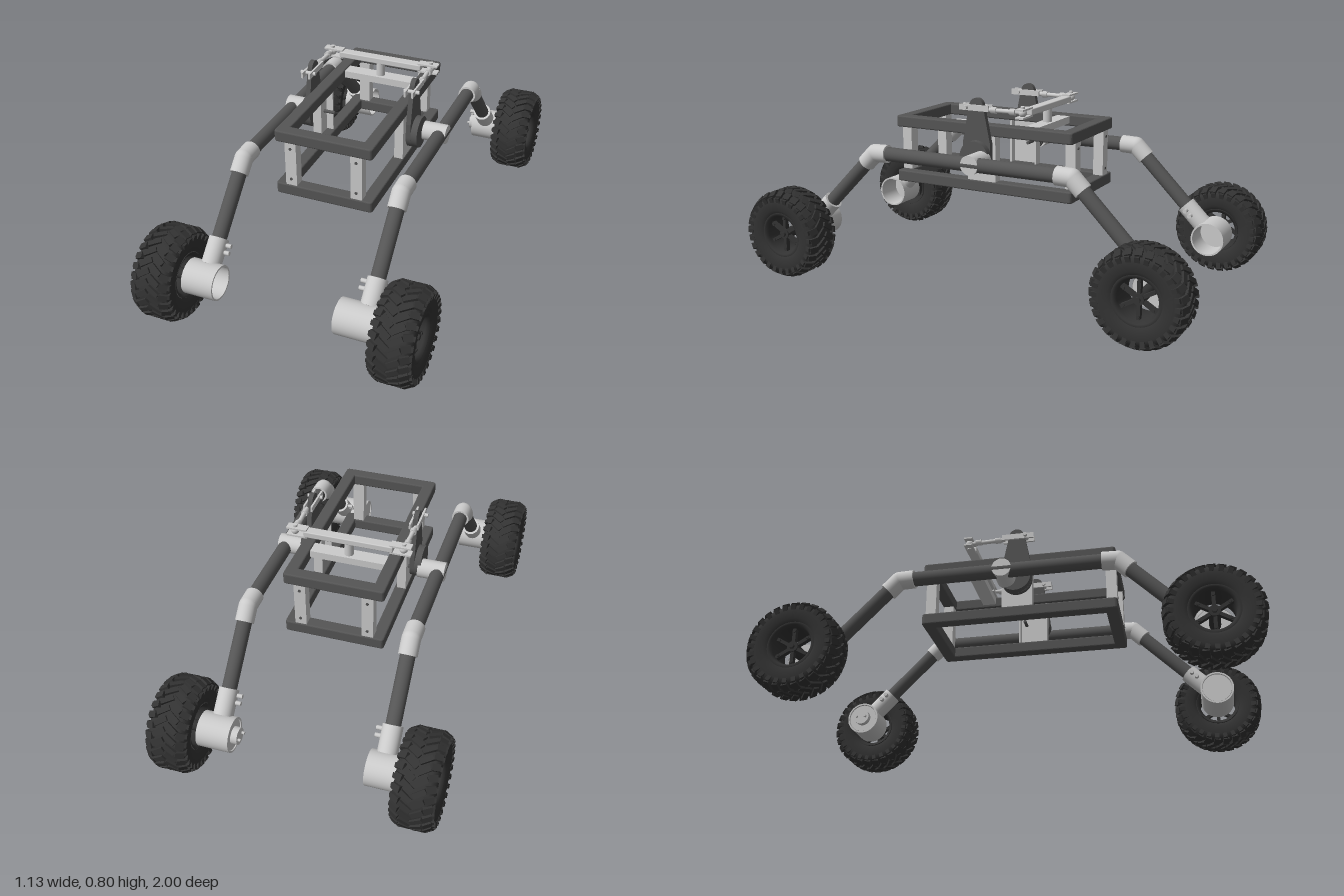
import * as THREE from 'three';
import { mergeGeometries } from 'three/addons/utils/BufferGeometryUtils.js';
import { RoundedBoxGeometry } from 'three/addons/geometries/RoundedBoxGeometry.js';

const grey = new THREE.MeshStandardMaterial({ color: 0xcccccc, side: THREE.DoubleSide });
const dark = new THREE.MeshStandardMaterial({ color: 0x555555, side: THREE.DoubleSide });
const rubber = new THREE.MeshStandardMaterial({ color: 0x333333, side: THREE.DoubleSide });
const V = (x, y, z) => new THREE.Vector3(x, y, z);

function add(parent, name, geometry, material, x = 0, y = 0, z = 0) {
  const mesh = new THREE.Mesh(geometry, material);
  mesh.name = name;
  mesh.position.set(x, y, z);
  parent.add(mesh);
  return mesh;
}

// Solid round bar between two points
function rod(parent, name, a, b, r, material, sides = 32, open = false) {
  const dir = b.clone().sub(a);
  const mid = a.clone().add(b).multiplyScalar(0.5);
  const mesh = add(parent, name, new THREE.CylinderGeometry(r, r, dir.length(), sides, 1, open), material, mid.x, mid.y, mid.z);
  mesh.quaternion.setFromUnitVectors(V(0, 1, 0), dir.normalize());
  return mesh;
}

function box(parent, name, w, h, d, x, y, z, material = grey) {
  return add(parent, name, new THREE.BoxGeometry(w, h, d), material, x, y, z);
}

// Ring-shaped profile turned about the x axis
function turned(points) {
  return new THREE.LatheGeometry(points.map(p => new THREE.Vector2(...p)), 56).rotateZ(-Math.PI / 2);
}

// Raised block on the tyre: axial position, radius, angle round the wheel, skew
function lug(size, x, r, angle, skew, tilt) {
  return new THREE.BoxGeometry(...size).rotateY(skew).rotateZ(tilt).translate(x, r, 0).rotateX(angle);
}

// Wheel with its outer face toward +x
function makeWheel() {
  const wheel = new THREE.Group();
  wheel.name = 'wheel';
  const half = [[0.094, 0.066], [0.11, 0.076], [0.145, 0.079], [0.165, 0.072], [0.176, 0.056], [0.18, 0.03]];
  const profile = [...half.map(([r, y]) => [r, -y]), [0.181, 0], ...half.reverse()];
  add(wheel, 'tyre', turned(profile), rubber);

  const lugs = [];
  const count = 28;
  for (let i = 0; i < count; i++) {
    const a = (i / count) * Math.PI * 2;
    for (const s of [-1, 1]) {
      const shift = s > 0 ? Math.PI / count : 0;
      lugs.push(lug([0.052, 0.016, 0.02], s * 0.024, 0.181, a + shift, s * 0.6, 0));
      lugs.push(lug([0.034, 0.018, 0.026], s * 0.06, 0.174, a + shift + 0.1, s * 0.2, -s * 0.5));
      lugs.push(lug([0.02, 0.022, 0.018], s * 0.073, 0.158, a + shift + 0.1, 0, -s * 0.25));
    }
  }
  add(wheel, 'treadBlocks', mergeGeometries(lugs), rubber);

  add(wheel, 'rim', turned([[0.092, -0.068], [0.079, -0.062], [0.076, 0], [0.079, 0.055], [0.086, 0.07], [0.097, 0.068]]), rubber);
  rod(wheel, 'hub', V(-0.08, 0, 0), V(0.05, 0, 0), 0.022, rubber, 24);
  rod(wheel, 'hubNut', V(0.05, 0, 0), V(0.06, 0, 0), 0.011, rubber, 6);
  for (let i = 0; i < 6; i++) {
    const a = (i / 6) * Math.PI * 2;
    const spoke = box(wheel, 'spoke', 0.02, 0.062, 0.014, 0.035, 0.049 * Math.cos(a), 0.049 * Math.sin(a), rubber);
    spoke.rotation.x = a;
    rod(wheel, 'wheelBolt', V(0.04, 0.066 * Math.cos(a), 0.066 * Math.sin(a)), V(0.05, 0.066 * Math.cos(a), 0.066 * Math.sin(a)), 0.006, rubber, 8);
  }
  return wheel;
}

// Rectangular frame hoop with softened edges
function hoop(parent, name, y) {
  const rect = (P, w, d, r) => {
    const p = new P();
    p.moveTo(-w + r, -d).lineTo(w - r, -d).quadraticCurveTo(w, -d, w, -d + r);
    p.lineTo(w, d - r).quadraticCurveTo(w, d, w - r, d);
    p.lineTo(-w + r, d).quadraticCurveTo(-w, d, -w, d - r);
    p.lineTo(-w, -d + r).quadraticCurveTo(-w, -d, -w + r, -d);
    return p;
  };
  const b = 0.006;
  const shape = rect(THREE.Shape, 0.206 - b, 0.414 - b, 0.008);
  shape.holes.push(rect(THREE.Path, 0.155 + b, 0.362 + b, 0.003));
  const g = new THREE.ExtrudeGeometry(shape, { depth: 0.048 - 2 * b, bevelSize: b, bevelThickness: b, bevelSegments: 3, curveSegments: 4 });
  add(parent, name, g.translate(0, 0, -0.024 + b).rotateX(-Math.PI / 2), dark, 0, y, 0.02);
}

// Tapered swing arm outline: large round foot, small round top
function armGeometry() {
  const s = new THREE.Shape();
  s.moveTo(0.063, 0.62);
  s.lineTo(0.033, 0.775).absarc(0, 0.77, 0.031, 0.15, Math.PI - 0.15, false);
  s.lineTo(-0.063, 0.62).lineTo(-0.064, 0.56).absarc(0, 0.56, 0.064, Math.PI, Math.PI * 2, false);
  return new THREE.ExtrudeGeometry(s, { depth: 0.02, bevelEnabled: false, curveSegments: 20 })
    .translate(0, 0, -0.01).rotateY(-Math.PI / 2);
}

// Rocker leg half: elbow, sloping tube, motor housing and wheel
function makeLeg(s, f) {
  const leg = new THREE.Group();
  leg.name = (f > 0 ? 'front' : 'rear') + (s > 0 ? 'Left' : 'Right') + 'Leg';
  const P = (z, y, x = 0.333) => V(s * x, y, f * z);
  const bend = P(0.455, 0.548);
  rod(leg, 'elbowInner', P(0.39, 0.55), bend, 0.038, grey);
  add(leg, 'elbowCorner', new THREE.SphereGeometry(0.038, 32, 16), grey, bend.x, bend.y, bend.z);
  rod(leg, 'elbowOuter', bend, P(0.502, 0.501), 0.038, grey);
  rod(leg, 'slopingTube', bend, P(0.72, 0.283), 0.03, dark);
  rod(leg, 'legSocket', P(0.69, 0.313), P(0.765, 0.238), 0.04, grey);
  for (const k of [0, 0.02]) rod(leg, 'clampBolt', P(0.705 + k, 0.298 - k, 0.3), P(0.705 + k, 0.298 - k, 0.272), 0.009, grey, 12);

  // Motor housing, open on the inner end except where a motor fills it
  const inner = s > 0 && f > 0 ? 0.225 : 0.272;
  const hy = f > 0 ? 0.195 : 0.187;
  rod(leg, 'motorHousing', P(0.807, hy, inner), P(0.807, hy, 0.405), 0.071, grey, 40, true);
  rod(leg, 'housingBore', P(0.807, hy, inner), P(0.807, hy, 0.4), 0.064, grey, 40, true);
  rod(leg, 'housingEndPlate', P(0.807, hy, 0.39), P(0.807, hy, 0.404), 0.07, grey, 40);
  const rim = add(leg, 'housingRim', new THREE.RingGeometry(0.064, 0.071, 40), grey, s * inner, hy, f * 0.807);
  rim.rotation.y = Math.PI / 2;
  if (s > 0) {
    rod(leg, 'motor', P(0.807, hy, inner + 0.004), P(0.807, hy, 0.39), 0.062, grey);
    if (f < 0) {
      rod(leg, 'motorCap', P(0.807, hy, 0.25), P(0.807, hy, 0.28), 0.035, grey);
      for (const k of [-1, 1]) rod(leg, 'motorTerminal', P(0.807 + k * 0.02, hy, 0.238), P(0.807 + k * 0.02, hy, 0.252), 0.006, grey, 8);
    }
  }
  const wheel = makeWheel();
  wheel.position.set(s * 0.481, 0.193, f * 0.807);
  if (s < 0) wheel.rotation.y = Math.PI;
  leg.add(wheel);
  return leg;
}

export function createModel() {
  const model = new THREE.Group();
  model.name = 'rover';

  // Body frame
  hoop(model, 'lowerFrame', 0.428);
  hoop(model, 'upperFrame', 0.666);
  for (const s of [-1, 1]) {
    for (const f of [-1, 1]) {
      box(model, 'endPost', 0.048, 0.2, 0.044, s * 0.139, 0.547, 0.02 + f * 0.388);
      for (const y of [0.48, 0.617]) rod(model, 'postBolt', V(s * 0.139, y, 0.02 + f * 0.41), V(s * 0.139, y, 0.02 + f * 0.413), 0.006, dark, 12);
    }
    box(model, 'sidePost', 0.008, 0.2, 0.13, s * 0.199, 0.547, 0.015);
    for (const f of [-1, 1]) box(model, 'sidePostFlange', 0.038, 0.2, 0.008, s * 0.184, 0.547, 0.015 + f * 0.061);
  }

  // Balance bar on its centre post
  box(model, 'crossMember', 0.32, 0.03, 0.06, 0, 0.67, -0.185);
  rod(model, 'centrePost', V(0, 0.68, -0.185), V(0, 0.745, -0.185), 0.019, grey);
  add(model, 'balanceBar', new RoundedBoxGeometry(0.37, 0.026, 0.042, 2, 0.004), grey, 0, 0.754, -0.187);

  for (const s of [-1, 1]) {
    // Rocker beam and pivot
    rod(model, 'rockerBeam', V(s * 0.333, 0.55, -0.45), V(s * 0.333, 0.55, 0.45), 0.03, dark);
    rod(model, 'pivotTee', V(s * 0.362, 0.552, -0.018), V(s * 0.25, 0.552, -0.018), 0.04, grey);
    rod(model, 'pivotDisc', V(s * 0.262, 0.562, 0.018), V(s * 0.235, 0.562, 0.018), 0.066, dark, 40);
    rod(model, 'pivotAxle', V(s * 0.26, 0.55, -0.018), V(s * 0.145, 0.55, -0.018), 0.007, dark, 12);
    add(model, 'swingArm', armGeometry(), dark, s * 0.225, 0, 0.02);

    // Link from the swing arm to the balance bar
    for (const k of [-1, 1]) box(model, 'armClamp', 0.008, 0.024, 0.135, s * (0.225 + k * 0.016), 0.762, 0.027);
    rod(model, 'armClampBolt', V(s * 0.195, 0.762, 0.06), V(s * 0.26, 0.762, 0.06), 0.008, grey, 12);
    rod(model, 'linkRod', V(s * 0.232, 0.757, -0.03), V(s * 0.225, 0.757, -0.18), 0.009, grey, 16);
    for (const z of [-0.06, -0.145]) rod(model, 'linkNut', V(s * 0.23, 0.757, z - 0.012), V(s * 0.23, 0.757, z + 0.012), 0.014, grey, 6);
    for (const y of [0.738, 0.77]) box(model, 'barFork', 0.085, 0.007, 0.036, s * 0.215, y, -0.187);
    rod(model, 'forkPin', V(s * 0.225, 0.73, -0.187), V(s * 0.225, 0.782, -0.187), 0.009, grey, 12);
    add(model, 'linkBall', new THREE.SphereGeometry(0.017, 20, 12), grey, s * 0.225, 0.756, -0.187);

    for (const f of [-1, 1]) model.add(makeLeg(s, f));
  }
  return model;
}
